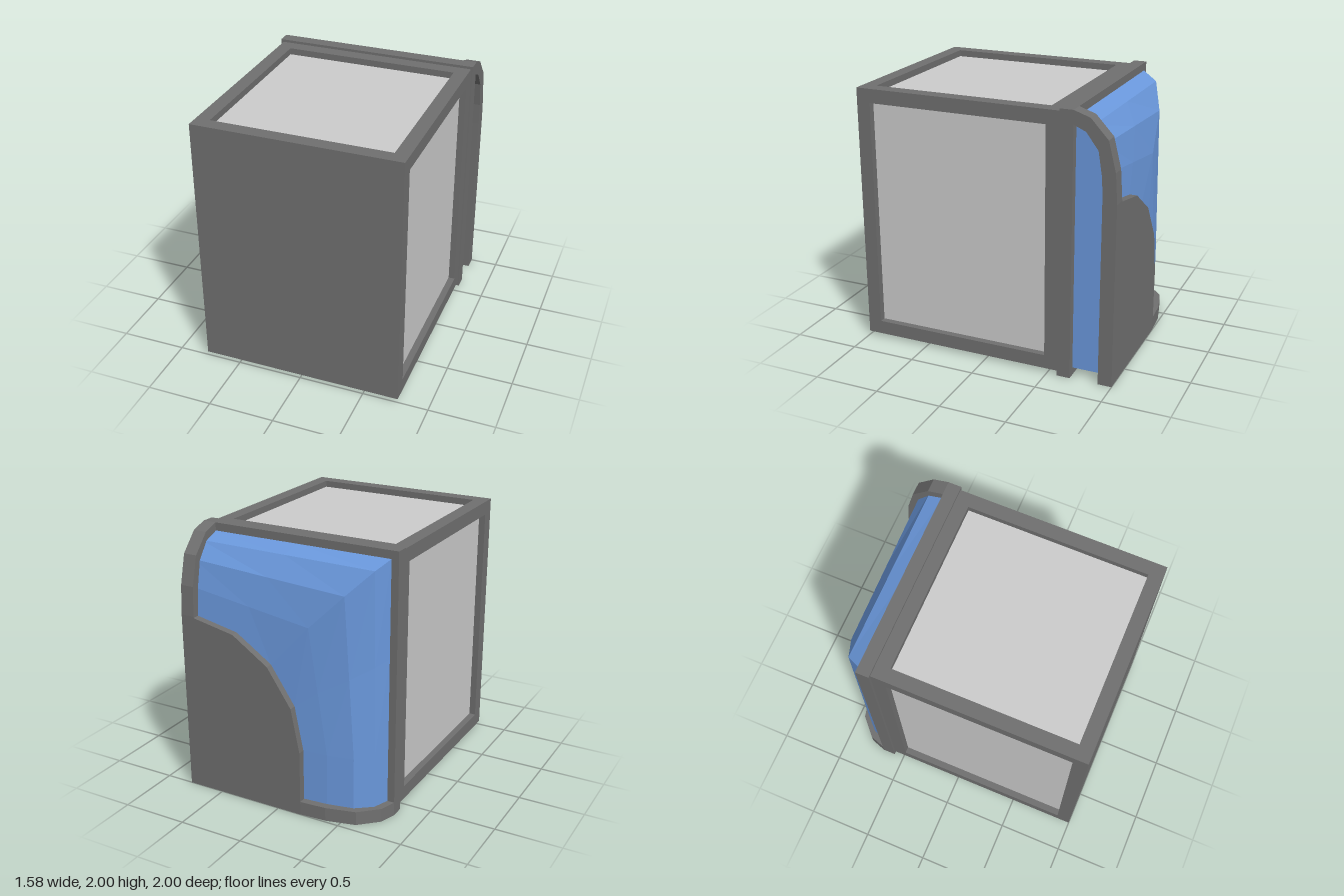
import * as THREE from 'three';

export function createModel() {
  const model = new THREE.Group();
  const dark = new THREE.MeshStandardMaterial({ color: 0x707070, flatShading: true });
  const grey = new THREE.MeshStandardMaterial({ color: 0xcccccc, flatShading: true });
  const blue = new THREE.MeshStandardMaterial({ color: 0x6a98dc, flatShading: true });

  const add = (name, geometry, material) => {
    const mesh = new THREE.Mesh(geometry, material);
    mesh.name = name;
    model.add(mesh);
    return mesh;
  };
  // Box given by its lowest and highest corner
  const box = (name, material, x0, x1, y0, y1, z0, z1) =>
    add(name, new THREE.BoxGeometry(x1 - x0, y1 - y0, z1 - z0), material)
      .position.set((x0 + x1) / 2, (y0 + y1) / 2, (z0 + z1) / 2);

  // Body: a rail frame around recessed panels
  const W = 0.77, B = 0.03, T = 1.98, R = 0.105;
  box('recessedPanels', grey, -W + 0.05, W - 0.05, B + 0.05, T - 0.05, -0.5, 0.92);
  box('frontWall', dark, -W, W, B, T, 0.895, 1);
  box('rearBodyFrame', dark, -W, W, B, T, -0.58, -0.475);
  for (const x of [-W, W - R])
    for (const y of [B, T - R])
      box('bodyRail', dark, x, x + R, y, y + R, -0.475, 0.895);

  // Plate that carries the curved window
  box('windowBasePlate', dark, -0.79, 0.785, 0, 2, -0.68, -0.58);

  // Curved frame bands: [depth, distance from the outer edge]
  const outer = [[0.68, 0], [0.8, 0.04], [0.93, 0.18], [0.985, 0.4], [1, 0.62]];
  const inner = [[0.895, 0.62], [0.89, 0.45], [0.86, 0.26], [0.77, 0.14], [0.68, 0.1]];
  const band = (edge, end) => {
    const pts = [
      ...outer.map(([z, d]) => [z, edge - d]), [1, end], [0.895, end],
      ...inner.map(([z, d]) => [z, edge - d]),
    ].map(([z, s]) => new THREE.Vector2(z, s));
    return new THREE.ExtrudeGeometry(new THREE.Shape(pts), { depth: R, bevelEnabled: false });
  };
  const X = new THREE.Vector3(1, 0, 0), Y = new THREE.Vector3(0, 1, 0), back = new THREE.Vector3(0, 0, -1);
  const sideBand = band(2, 0);
  sideBand.applyMatrix4(new THREE.Matrix4().makeBasis(back, Y, X)).translate(0.68, 0, 0);
  add('sideArchFrame', sideBand, dark);
  const lowBand = band(0.79, -0.785);
  lowBand.applyMatrix4(new THREE.Matrix4().makeBasis(back, X.clone().negate(), Y));
  add('bottomArchFrame', lowBand, dark);

  // Rear corner panel with a rounded cut, in 22.5 degree steps
  const arc = [];
  for (let k = 0; k <= 4; k++) {
    const a = (k * Math.PI) / 8;
    arc.push([0.68 - 0.87 * Math.sin(a), 0.5 + 0.87 * Math.cos(a)]);
  }
  const outline = [[0.785, 0], [0.785, 1.37], ...arc, [-0.19, 0]];
  const panel = new THREE.ExtrudeGeometry(
    new THREE.Shape(outline.map(([x, y]) => new THREE.Vector2(x, y))),
    { depth: 0.06, bevelEnabled: false });
  add('rearCornerPanel', panel.translate(0, 0, -1), dark);

  // Curved window: rings from the mitred outer edge in to the rounded cut
  // Each ring: [z, inset at the ends, inset at the corner]
  const levels = [[-0.68, 0, 0], [-0.8, 0.045, 0.06], [-0.89, 0.165, 0.24], [-0.93, 0.36, 0.5]];
  const x0 = 0.73, y0 = 0.06, top = 1.94, left = -0.735;
  const rings = levels.map(([z, e, c]) => {
    const cx = left + c, cy = top - c, m = (e + c) / 2;
    return [
      [x0, top - e, z], [(x0 + cx) / 2, top - m, z], [cx, cy, z],
      [left + m, (cy + 0.5) / 2, z], [left + e, 0.5, z], [left + e, y0, z],
    ];
  });
  rings.push([[x0, 1.37], arc[1], arc[2], arc[3], arc[4], [-0.19, y0]].map(([x, y]) => [x, y, -0.945]));

  const pos = [];
  const tri = (...corners) => corners.forEach((p) => pos.push(...p));
  for (let i = 0; i < rings.length - 1; i++)
    for (let j = 0; j < 5; j++) {
      const a = rings[i][j], b = rings[i][j + 1], c = rings[i + 1][j + 1], d = rings[i + 1][j];
      tri(a, d, c);
      tri(a, c, b);
    }
  // Flat ends of the window at the side and at the bottom
  const foot = [x0, y0, -0.68], heel = [x0, y0, -0.945];
  const sideEdge = [...rings.map((r) => r[0]), heel];
  const lowEdge = [...rings.map((r) => r[5]), heel];
  for (let i = 0; i < sideEdge.length - 1; i++) {
    tri(foot, sideEdge[i + 1], sideEdge[i]);
    tri(foot, lowEdge[i], lowEdge[i + 1]);
  }
  const glass = new THREE.BufferGeometry();
  glass.setAttribute('position', new THREE.Float32BufferAttribute(pos, 3));
  glass.computeVertexNormals();
  add('curvedWindow', glass, blue);

  return model;
}
